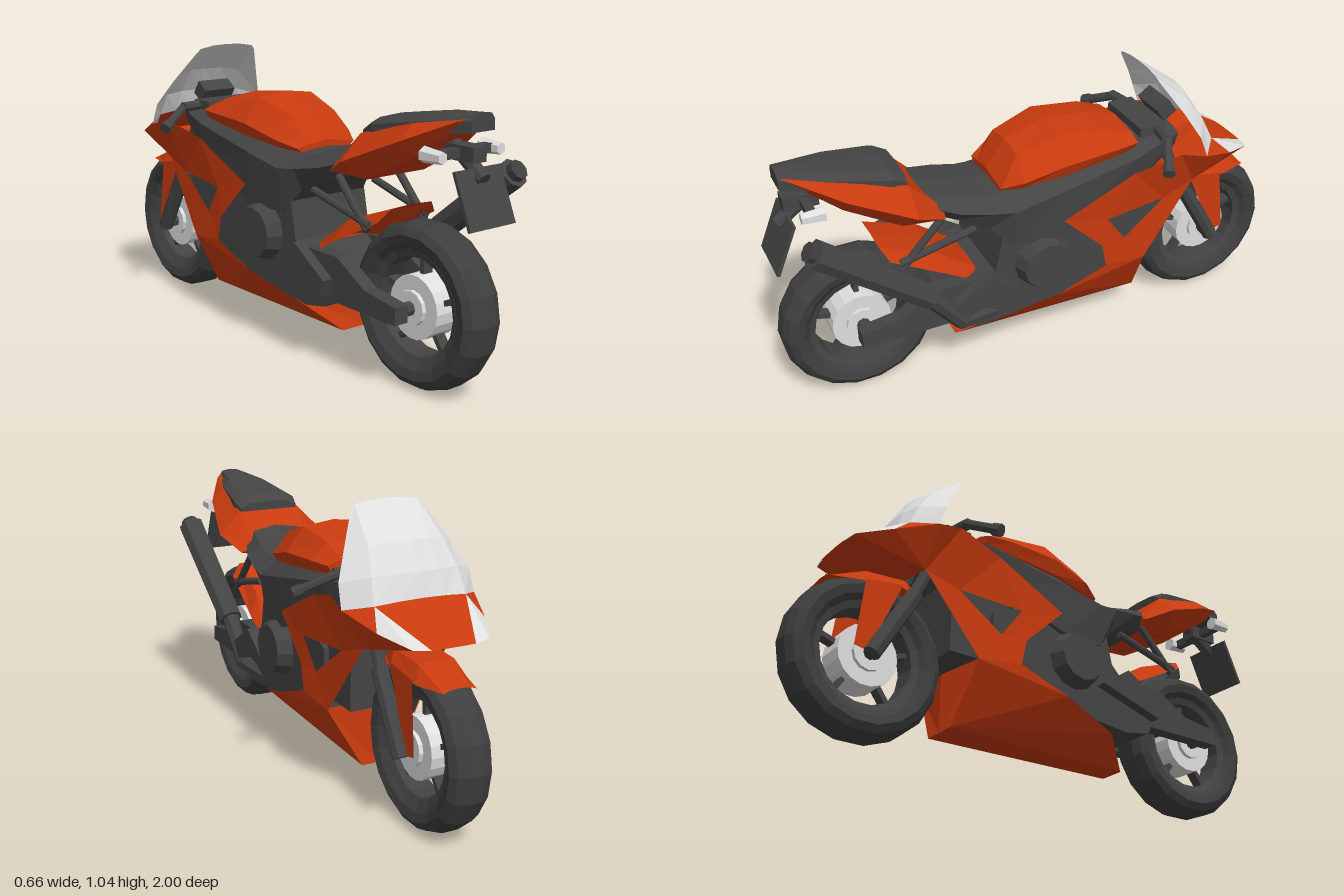
import * as THREE from 'three';

const paint = (name, color) => new THREE.MeshStandardMaterial({ name, color, flatShading: true, side: THREE.DoubleSide });

export function createModel() {
  const orange = paint('orange paint', 0xc83a0e);
  const dark = paint('dark grey', 0x444444);
  const rubber = paint('tyre grey', 0x3e3e3e);
  const pale = paint('pale grey', 0xdedede);
  const bike = new THREE.Group();
  bike.name = 'motorcycle';

  const add = (name, geo, mat, parent = bike) => {
    const m = new THREE.Mesh(geo, mat);
    m.name = name;
    parent.add(m);
    return m;
  };
  const flip = ([x, y, z]) => [-x, y, z];
  const fromTriangles = (tris) => {
    const g = new THREE.BufferGeometry();
    g.setAttribute('position', new THREE.Float32BufferAttribute(tris.flat(2), 3));
    g.computeVertexNormals();
    return g;
  };

  // Skin over mirrored half sections, each running from the centre line outwards.
  // closed: sections end on the centre line again and the ends are capped.
  function loft(name, mat, halves, closed = true) {
    const rings = halves.map((h) => {
      const other = h.filter((p) => p[0] !== 0).map(flip).reverse();
      return closed ? [...h, ...other] : [...other, ...h];
    });
    const n = rings[0].length, tris = [];
    for (let i = 0; i + 1 < rings.length; i++) {
      for (let j = 0; j < (closed ? n : n - 1); j++) {
        const k = (j + 1) % n, a = rings[i], b = rings[i + 1];
        tris.push([a[j], b[j], b[k]], [a[j], b[k], a[k]]);
      }
    }
    if (closed) {
      for (let j = 1; j + 1 < n; j++) {
        const a = rings[0], b = rings[rings.length - 1];
        tris.push([a[0], a[j], a[j + 1]], [b[0], b[j + 1], b[j]]);
      }
    }
    return add(name, fromTriangles(tris), mat);
  }

  // Named corner points joined into polygons, mirrored to both sides
  function panels(name, mat, pts, polys) {
    const tris = [];
    for (const poly of polys) {
      const c = [...poly].map((k) => pts[k]);
      for (let i = 1; i + 1 < c.length; i++) {
        tris.push([c[0], c[i], c[i + 1]], [c[0], c[i + 1], c[i]].map(flip));
      }
    }
    return add(name, fromTriangles(tris), mat);
  }

  function rod(name, mat, a, b, r, r2 = r, sides = 8) {
    const p = new THREE.Vector3(...a), q = new THREE.Vector3(...b), d = q.clone().sub(p);
    const m = add(name, new THREE.CylinderGeometry(r2, r, d.length(), sides), mat);
    m.position.copy(p).add(q).multiplyScalar(0.5);
    m.quaternion.setFromUnitVectors(new THREE.Vector3(0, 1, 0), d.normalize());
    return m;
  }

  function box(name, mat, size, pos) {
    const m = add(name, new THREE.BoxGeometry(...size), mat);
    m.position.set(...pos);
    return m;
  }

  // Side outline in (z, y) extruded across the width, centred on x
  function slab(name, mat, outline, width, x = 0) {
    const s = new THREE.Shape(outline.map(([z, y]) => new THREE.Vector2(-z, y)));
    const g = new THREE.ExtrudeGeometry(s, { depth: width, bevelEnabled: false });
    g.translate(0, 0, -width / 2).rotateY(Math.PI / 2);
    return add(name, g.translate(x, 0, 0), mat);
  }

  // Wheels
  function wheel(name, z) {
    const w = new THREE.Group();
    w.name = name;
    const lathe = (pts) => new THREE.LatheGeometry(pts.map((p) => new THREE.Vector2(...p)), 18).rotateZ(Math.PI / 2);
    add('tyre', lathe([[0.19, -0.05], [0.215, -0.07], [0.245, -0.078], [0.27, -0.062], [0.285, -0.03],
      [0.285, 0.03], [0.27, 0.062], [0.245, 0.078], [0.215, 0.07], [0.19, 0.05], [0.19, -0.05]]), rubber, w);
    add('rim', lathe([[0.17, -0.045], [0.195, -0.055], [0.195, 0.055], [0.17, 0.045], [0.17, -0.045]]), dark, w);
    for (let i = 0; i < 5; i++) {
      const a = (i * Math.PI * 2) / 5;
      const s = add('spoke', new THREE.BoxGeometry(0.04, 0.13, 0.018), dark, w);
      s.position.set(0, 0.12 * Math.cos(a), 0.12 * Math.sin(a));
      s.rotation.x = a;
    }
    add('brake disc', new THREE.CylinderGeometry(0.11, 0.11, 0.11, 18).rotateZ(Math.PI / 2), pale, w);
    add('hub', new THREE.CylinderGeometry(0.06, 0.06, 0.14, 12).rotateZ(Math.PI / 2), pale, w);
    add('axle', new THREE.CylinderGeometry(0.025, 0.025, 0.24, 8).rotateZ(Math.PI / 2), dark, w);
    w.position.set(0, 0.29, z);
    bike.add(w);
  }
  wheel('frontWheel', -0.715);
  wheel('rearWheel', 0.715);

  // Frame, seat and engine
  const body = (z, top, tx, mx, my, bx, bottom) =>
    [[0, top, z], [tx, top - 0.01, z], [mx, my, z], [bx, bottom, z], [0, bottom, z]];
  loft('frameAndSeat', dark, [
    body(-0.52, 0.82, 0.1, 0.14, 0.8, 0.12, 0.74), body(-0.33, 0.81, 0.14, 0.19, 0.77, 0.17, 0.64),
    body(0, 0.77, 0.15, 0.2, 0.71, 0.19, 0.52), body(0.17, 0.74, 0.13, 0.2, 0.68, 0.18, 0.52),
    body(0.25, 0.74, 0.12, 0.19, 0.69, 0.15, 0.61), body(0.36, 0.765, 0.12, 0.17, 0.71, 0.12, 0.66),
    body(0.49, 0.8, 0.09, 0.12, 0.75, 0.08, 0.71)]);
  slab('engine', dark, [[0.24, 0.43], [0.2, 0.62], [-0.15, 0.6], [-0.3, 0.52], [-0.3, 0.3], [0, 0.24],
    [0.3, 0.21], [0.4, 0.23], [0.43, 0.29], [0.3, 0.42]], 0.34);
  box('radiator', dark, [0.3, 0.28, 0.24], [0, 0.48, -0.34]);
  for (const s of [-1, 1]) {
    const cover = add('engineCover', new THREE.CylinderGeometry(0.09, 0.115, 0.07, 12).rotateZ(-s * Math.PI / 2), dark);
    cover.position.set(s * 0.19, 0.43, 0.055);
    slab('swingarm', dark, [[0.75, 0.26], [0.75, 0.32], [0.6, 0.34], [0.46, 0.42], [0.24, 0.42],
      [0.2, 0.32], [0.42, 0.26]], 0.055, s * 0.14);
    slab('footrestBracket', dark, [[0.42, 0.28], [0.44, 0.34], [0.28, 0.44], [0.16, 0.36]], 0.04, s * 0.19);
    rod('subframeStrut', dark, [s * 0.13, 0.53, 0.57], [s * 0.13, 0.69, 0.42], 0.014);
    rod('subframeStrut', dark, [s * 0.13, 0.55, 0.58], [s * 0.14, 0.62, 0.3], 0.014);
  }

  // Fuel tank
  const tankRing = (z, top, tx, mx, my, bottom) =>
    [[0, top, z], [tx, top - 0.015, z], [mx, my, z], [mx - 0.02, bottom, z], [0, bottom, z]];
  loft('fuelTank', orange, [
    tankRing(-0.33, 0.855, 0.12, 0.17, 0.82, 0.79), tankRing(-0.23, 0.89, 0.12, 0.185, 0.82, 0.78),
    tankRing(-0.04, 0.912, 0.12, 0.19, 0.81, 0.76), tankRing(0.12, 0.865, 0.1, 0.17, 0.77, 0.74),
    tankRing(0.195, 0.765, 0.08, 0.13, 0.745, 0.73)]);

  // Tail and pillion seat
  loft('tail', orange, [
    [[0, 0.73, 0.41], [0.12, 0.73, 0.41], [0.17, 0.71, 0.42], [0.1, 0.69, 0.45], [0, 0.69, 0.45]],
    [[0, 0.85, 0.53], [0.13, 0.85, 0.53], [0.215, 0.765, 0.53], [0.13, 0.7, 0.56], [0, 0.7, 0.56]],
    [[0, 0.91, 0.75], [0.11, 0.91, 0.75], [0.16, 0.86, 0.75], [0.1, 0.8, 0.75], [0, 0.8, 0.75]],
    [[0, 0.94, 0.93], [0.05, 0.94, 0.93], [0.075, 0.93, 0.9], [0.04, 0.915, 0.91], [0, 0.915, 0.91]]]);
  const pad = (z, top, w) => [[0, top, z], [w * 0.7, top - 0.005, z], [w, top - 0.025, z], [w, top - 0.06, z], [0, top - 0.06, z]];
  loft('pillionSeat', dark, [pad(0.53, 0.885, 0.12), pad(0.58, 0.91, 0.13), pad(0.76, 0.94, 0.105), pad(0.94, 0.958, 0.05)]);

  // Plate holder and rear indicators
  box('indicatorBar', dark, [0.24, 0.03, 0.03], [0, 0.825, 0.86]);
  box('tailLampHousing', dark, [0.06, 0.05, 0.12], [0, 0.825, 0.87]);
  rod('plateBracket', dark, [0, 0.86, 0.8], [0, 0.75, 0.95], 0.025);
  box('plate', dark, [0.2, 0.19, 0.012], [0, 0.695, 0.955]).rotation.x = -0.4;
  for (const s of [-1, 1]) rod('rearIndicator', pale, [s * 0.128, 0.825, 0.82], [s * 0.128, 0.825, 0.9], 0.027, 0.02, 6);

  // Exhaust on the left side only
  rod('silencer', dark, [0.19, 0.42, 0.5], [0.205, 0.735, 0.89], 0.047, 0.052);
  rod('silencerTip', rubber, [0.205, 0.735, 0.89], [0.206, 0.75, 0.91], 0.035);
  rod('exhaustPipe', dark, [0.19, 0.43, 0.51], [0.18, 0.27, 0.38], 0.035);
  rod('exhaustPipe', dark, [0.18, 0.27, 0.39], [0.1, 0.22, 0.1], 0.035);

  // Rear mudguard
  const arch = (z, y, w, drop) => [[0, y, z], [w * 0.7, y - 0.005, z], [w, y - drop, z - drop * 0.5]];
  loft('rearMudguard', orange, [arch(0.64, 0.615, 0.13, 0.05), arch(0.44, 0.54, 0.145, 0.09),
    arch(0.29, 0.43, 0.14, 0.06), arch(0.31, 0.29, 0.12, 0.02)], false);

  // Front mudguard and fork
  loft('frontMudguard', orange, [arch(-0.54, 0.56, 0.09, 0.03), arch(-0.6, 0.6, 0.095, 0.05), arch(-0.75, 0.59, 0.095, 0.06),
    arch(-0.885, 0.54, 0.06, 0.01)], false);
  panels('forkGuard', orange, { a: [0.095, 0.56, -0.62], b: [0.095, 0.54, -0.76], c: [0.1, 0.29, -0.79], d: [0.1, 0.28, -0.74] }, ['abcd']);
  for (const s of [-1, 1]) {
    rod('forkTube', dark, [s * 0.11, 0.27, -0.73], [s * 0.11, 0.53, -0.58], 0.03);
    rod('forkLeg', dark, [s * 0.11, 0.5, -0.6], [s * 0.1, 0.82, -0.44], 0.022);
    // Handlebars
    rod('handlebar', dark, [s * 0.1, 0.82, -0.45], [s * 0.2, 0.82, -0.43], 0.02);
    rod('grip', dark, [s * 0.19, 0.82, -0.44], [s * 0.315, 0.757, -0.375], 0.017);
    rod('gripEnd', dark, [s * 0.29, 0.768, -0.388], [s * 0.318, 0.755, -0.374], 0.023);
  }
  box('topClamp', dark, [0.24, 0.04, 0.1], [0, 0.82, -0.42]);
  box('dashboard', dark, [0.14, 0.06, 0.06], [0, 0.86, -0.51]).rotation.x = 0.6;

  // Windscreen
  const screenBase = [[0, 0.77, -0.66], [0.09, 0.768, -0.66], [0.17, 0.76, -0.65], [0.25, 0.74, -0.58]];
  loft('windscreen', pale, [
    [[0, 1.052, -0.42], [0.06, 1.05, -0.42], [0.12, 1.04, -0.42], [0.135, 1.025, -0.425]],
    [[0, 0.94, -0.58], [0.07, 0.94, -0.57], [0.14, 0.93, -0.55], [0.2, 0.91, -0.5]],
    [[0, 0.85, -0.635], [0.08, 0.85, -0.63], [0.16, 0.845, -0.61], [0.245, 0.82, -0.55]],
    screenBase], false);

  // Nose cowl with headlights along its outer edges
  const nose = [[0, 0.66, -0.85], [0.04, 0.66, -0.85], [0.08, 0.66, -0.848], [0.14, 0.665, -0.835]];
  loft('noseCowl', orange, [screenBase.slice(0, 3), nose.slice(0, 3)], false);
  panels('headlight', pale, { a: screenBase[2], b: nose[2], c: nose[3], d: [0.2, 0.695, -0.72] }, ['abcd']);

  // Side fairings with an opening, and the belly pan
  const P = {
    A: [0.2, 0.59, -0.02], B: [0.21, 0.72, -0.3], C: [0.235, 0.765, -0.48], D: screenBase[3], E: [0.2, 0.695, -0.72],
    F: nose[3], G: [0.17, 0.6, -0.58], H: [0.18, 0.56, -0.45], I: [0.2, 0.545, -0.2], J: [0.19, 0.435, -0.28],
    K: [0.2, 0.34, -0.2], L: [0.2, 0.27, 0], M: [0.15, 0.2, 0.24], N: [0.05, 0.105, 0.36], O: [0.07, 0.105, -0.4],
    Q: [0.19, 0.32, -0.37], S: [0.2, 0.435, -0.18], T: screenBase[2], n: [0, 0.105, 0.36], o: [0, 0.105, -0.4],
    q: [0, 0.32, -0.4], f: [0, 0.66, -0.85], g: [0, 0.62, -0.58],
  };
  panels('sideFairing', orange, P, ['AIB', 'ASI', 'SJI', 'SKJ', 'BIH', 'BHC', 'CHG', 'CGD', 'DGE', 'EGF', 'TED', 'JQH', 'HQG', 'KQJ', 'KLQ', 'FGgf']);
  panels('bellyPan', orange, P, ['LMO', 'LOQ', 'MNO', 'NnoO', 'QOoq']);

  return bike;
}
